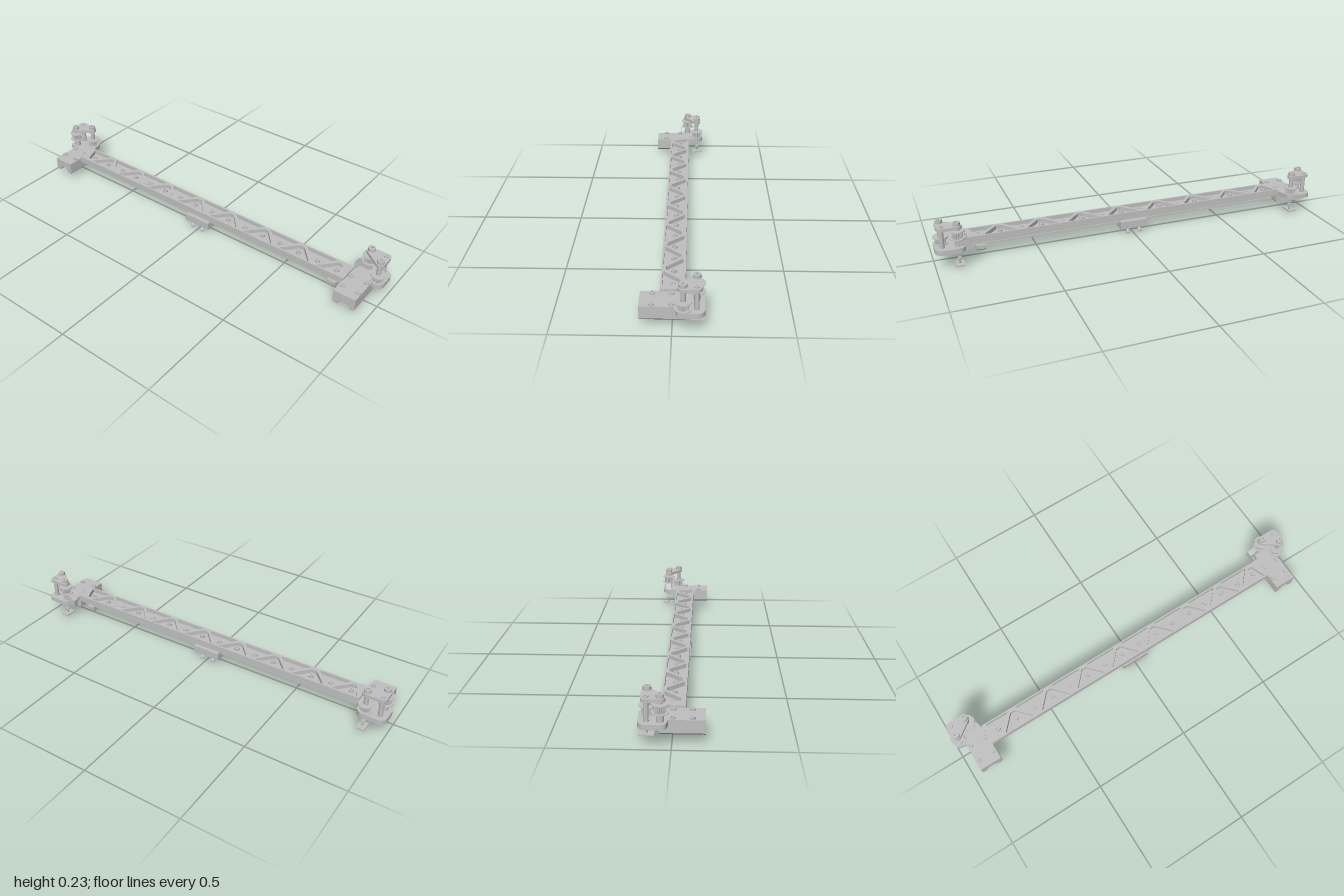
import * as THREE from 'three';

const grey = new THREE.MeshStandardMaterial({ color: 0xc0c0c0 });
grey.name = 'brushed grey';

function add(parent, name, geometry, x = 0, y = 0, z = 0) {
  const mesh = new THREE.Mesh(geometry, grey);
  mesh.name = name;
  mesh.position.set(x, y, z);
  parent.add(mesh);
  return mesh;
}
const box = (p, name, x0, x1, y0, y1, z0, z1) => add(p, name,
  new THREE.BoxGeometry(Math.abs(x1 - x0), y1 - y0, z1 - z0), (x0 + x1) / 2, (y0 + y1) / 2, (z0 + z1) / 2);
const rod = (p, name, r, x, y0, y1, z, n = 24) => add(p, name,
  new THREE.CylinderGeometry(r, r, y1 - y0, n), x, (y0 + y1) / 2, z);

const polygon = pts => new THREE.Shape(pts.map(p => new THREE.Vector2(p[0], p[1])));
function circle(r, x = 0, z = 0, n = 20) {
  return Array.from({ length: n }, (_, i) => {
    const a = i / n * Math.PI * 2;
    return [x + r * Math.cos(a), z + r * Math.sin(a)];
  });
}
// Plan outline in (x, z), standing between y0 and y1
function slab(p, name, shape, y0, y1) {
  const g = new THREE.ExtrudeGeometry(shape, { depth: y1 - y0, bevelEnabled: false });
  return add(p, name, g.rotateX(Math.PI / 2), 0, y1, 0);
}
// Outline that wraps a circle round each corner of a counter-clockwise polygon
function wrap(corners, s) {
  const out = [], n = corners.length;
  corners.forEach(([x, z, r], i) => {
    const a = corners[(i + n - 1) % n], b = corners[(i + 1) % n];
    const from = Math.atan2(z - a[1], x - a[0]) - Math.PI / 2;
    let to = Math.atan2(b[1] - z, b[0] - x) - Math.PI / 2;
    while (to < from) to += Math.PI * 2;
    for (let k = 0; k <= 8; k++) {
      const t = from + (to - from) * k / 8;
      out.push([s * (x + r * Math.cos(t)), z + r * Math.sin(t)]);
    }
  });
  return polygon(out);
}

// Socket-head screw: head from y to y + h (opening upward, or downward when flipped)
function screw(p, name, x, y, z, r, h, length, shaft, flip = false) {
  const g = new THREE.Group();
  g.name = name;
  const ring = polygon(circle(r));
  ring.holes.push(polygon(circle(r * 0.5, 0, 0, 6)));
  slab(g, 'screwHead', ring, h * 0.4, h);
  rod(g, 'screwHeadBase', r, 0, 0, h * 0.4, 0, 20);
  if (length > 0) {
    rod(g, 'screwShaft', shaft * 0.82, 0, -length, 0, 0, 12);
    for (let d = 0.004; d < length; d += 0.004) {
      const thread = new THREE.CylinderGeometry(shaft, shaft * 0.8, 0.002, 12);
      add(g, 'screwThread', thread, 0, -d, 0);
    }
  }
  g.position.set(x, y, z);
  if (flip) g.rotation.x = Math.PI;
  p.add(g);
}

// Belt idler with two flanges and a toothed drum
function pulley(p, x, z, y0, y1) {
  const g = new THREE.Group();
  g.name = 'idlerPulley';
  const teeth = [];
  for (let i = 0; i < 80; i++) {
    const a = i / 80 * Math.PI * 2, r = i % 4 < 2 ? 0.026 : 0.023;
    teeth.push([r * Math.cos(a), r * Math.sin(a)]);
  }
  slab(g, 'toothedDrum', polygon(teeth), y0, y1);
  rod(g, 'lowerFlange', 0.036, 0, y0, y0 + 0.003, 0, 32);
  rod(g, 'upperFlange', 0.036, 0, y1 - 0.003, y1, 0, 32);
  g.position.set(x, 0, z);
  p.add(g);
}

const holeXs = Array.from({ length: 16 }, (_, i) => (i - 7.5) * 0.104);

function buildBeam(p) {
  const g = new THREE.Group();
  g.name = 'trussBeam';
  box(g, 'beamFloor', -0.84, 0.84, 0.087, 0.1, -0.053, 0.053);
  const top = polygon([[-0.84, -0.053], [0.84, -0.053], [0.84, 0.053], [-0.84, 0.053]]);
  // Alternating triangular pockets, cut short at their corners
  holeXs.forEach((x, i) => {
    const f = i % 2 ? 1 : -1;
    const l = i === 0 ? 0.04 : 0.078, r = i === 15 ? 0.04 : 0.078;
    top.holes.push(polygon([[x - l, f * 0.045], [x + r, f * 0.045], [x + r, f * 0.04],
      [x + 0.012, -f * 0.032], [x - 0.012, -f * 0.032], [x - l, f * 0.04]]));
    screw(g, 'railScrew', x, 0.1, 0, 0.012, 0.012, 0, 0);
  });
  slab(g, 'trussTop', top, 0.1, 0.12);
  p.add(g);
}

function buildRail(p) {
  const g = new THREE.Group();
  g.name = 'linearRail';
  // Head, waist and foot of the rail share the bolt holes
  [[0.024, 0.055, 0.065], [0.019, 0.065, 0.074], [0.024, 0.074, 0.087]].forEach(([w, y0, y1]) => {
    const s = polygon([[-0.824, -w], [0.824, -w], [0.824, w], [-0.824, w]]);
    holeXs.forEach(x => s.holes.push(polygon(circle(0.011, x, 0, 16))));
    slab(g, 'railLayer', s, y0, y1);
  });
  // Carriage wrapped round the rail
  box(g, 'carriageBase', -0.075, 0.07, 0.031, 0.054, -0.052, 0.056);
  for (const s of [-1, 1]) {
    box(g, 'carriageCheek', -0.075, 0.07, 0.054, 0.07, s > 0 ? 0.026 : -0.052, s > 0 ? 0.056 : -0.026);
  }
  for (const x of [-0.035, 0.027]) for (const z of [-0.039, 0.045])
    screw(g, 'carriageScrew', x, 0.009, z, 0.011, 0.008, 0.024, 0.008, true);
  // Stop near one end of the rail
  const stop = polygon([[-0.04, 0.042], [-0.034, 0.036], [0.034, 0.036], [0.04, 0.042], [0.04, 0.062],
    [0.025, 0.062], [0.025, 0.054], [-0.025, 0.054], [-0.025, 0.062], [-0.04, 0.062]]);
  const sg = new THREE.ExtrudeGeometry(stop, { depth: 0.044, bevelEnabled: false });
  add(g, 'railStop', sg.rotateY(Math.PI / 2), 0.755, 0, 0);
  screw(g, 'stopScrew', 0.777, 0.037, 0.003, 0.01, 0.007, 0, 0, true);
  p.add(g);
}

function buildEnd(p, s) {
  const g = new THREE.Group();
  g.name = s > 0 ? 'leftEnd' : 'rightEnd';
  const inner = [0.89, -0.1], outer = [0.963, -0.045], corner = [0.963, -0.1];

  // Bracket with a stepped channel underneath
  const section = [[0.838, 0.05], [0.845, 0.042], [0.866, 0.042], [0.866, 0.058], [0.876, 0.058], [0.876, 0.07],
    [0.914, 0.07], [0.914, 0.058], [0.924, 0.058], [0.924, 0.042], [0.943, 0.042], [0.95, 0.05],
    [0.95, 0.108], [0.838, 0.108]];
  const bg = new THREE.ExtrudeGeometry(polygon(section.map(([x, y]) => [s * x, y])),
    { depth: 0.185, bevelEnabled: false });
  add(g, 'endBracket', bg, 0, 0, -0.05);
  for (const x of [0.855, 0.935]) for (const z of [0.003, 0.083])
    screw(g, 'bracketScrew', s * x, 0.108, z, 0.012, 0.008, 0, 0);

  // Idler base and top plate
  slab(g, 'idlerBase', wrap([[...inner, 0.035], [...corner, 0.035], [...outer, 0.035],
    [0.94, -0.02, 0.01], [0.85, -0.03, 0.01]], s), 0.085, 0.1085);
  slab(g, 'idlerTopPlate', wrap([[...inner, 0.022], [...corner, 0.022], [...outer, 0.022]], s), 0.197, 0.212);

  // One pulley rides high, the other low; the ends swap
  const [high, low] = s > 0 ? [inner, outer] : [outer, inner];
  pulley(g, s * high[0], high[1], 0.147, 0.187);
  pulley(g, s * low[0], low[1], 0.109, 0.145);
  rod(g, 'highPedestal', 0.016, s * high[0], 0.108, 0.147, high[1]);
  rod(g, 'highWasher', 0.012, s * high[0], 0.187, 0.197, high[1]);
  rod(g, 'lowSpacer', 0.011, s * low[0], 0.145, 0.197, low[1]);
  rod(g, 'cornerPost', 0.011, s * corner[0], 0.108, 0.197, corner[1]);
  for (const [x, z] of [inner, outer])
    screw(g, 'idlerScrew', s * x, 0.212, z, 0.017, 0.016, 0, 0);
  screw(g, 'cornerScrew', s * corner[0], 0.212, corner[1], 0.011, 0.006, 0, 0);
  screw(g, 'cornerBottomScrew', s * corner[0], 0.085, corner[1], 0.011, 0.007, 0, 0, true);

  // Sloped support on one end only
  if (s > 0) {
    const ramp = polygon([[0.825, 0.085], [0.9, 0.085], [0.9, 0.145], [0.862, 0.145], [0.825, 0.118]]);
    const rg = new THREE.ExtrudeGeometry(ramp, { depth: 0.03, bevelEnabled: false });
    add(g, 'slopedSupport', rg, 0, 0, -0.115);
  }

  // Belt clamp plate with its screw, hanging below
  box(g, 'clampPlate', s * 0.869, s * 0.911, 0.015, 0.021, -0.135, -0.073);
  box(g, 'clampPad', s * 0.88, s * 0.9, 0.01, 0.015, -0.118, -0.09);
  screw(g, 'clampScrew', s * 0.89, 0.043, -0.104, 0.011, 0.007, 0.022, 0.006);
  p.add(g);
}

export function createModel() {
  const model = new THREE.Group();
  model.name = 'gantryBeam';
  buildBeam(model);
  buildRail(model);
  for (const s of [-1, 1]) buildEnd(model, s);
  return model;
}
